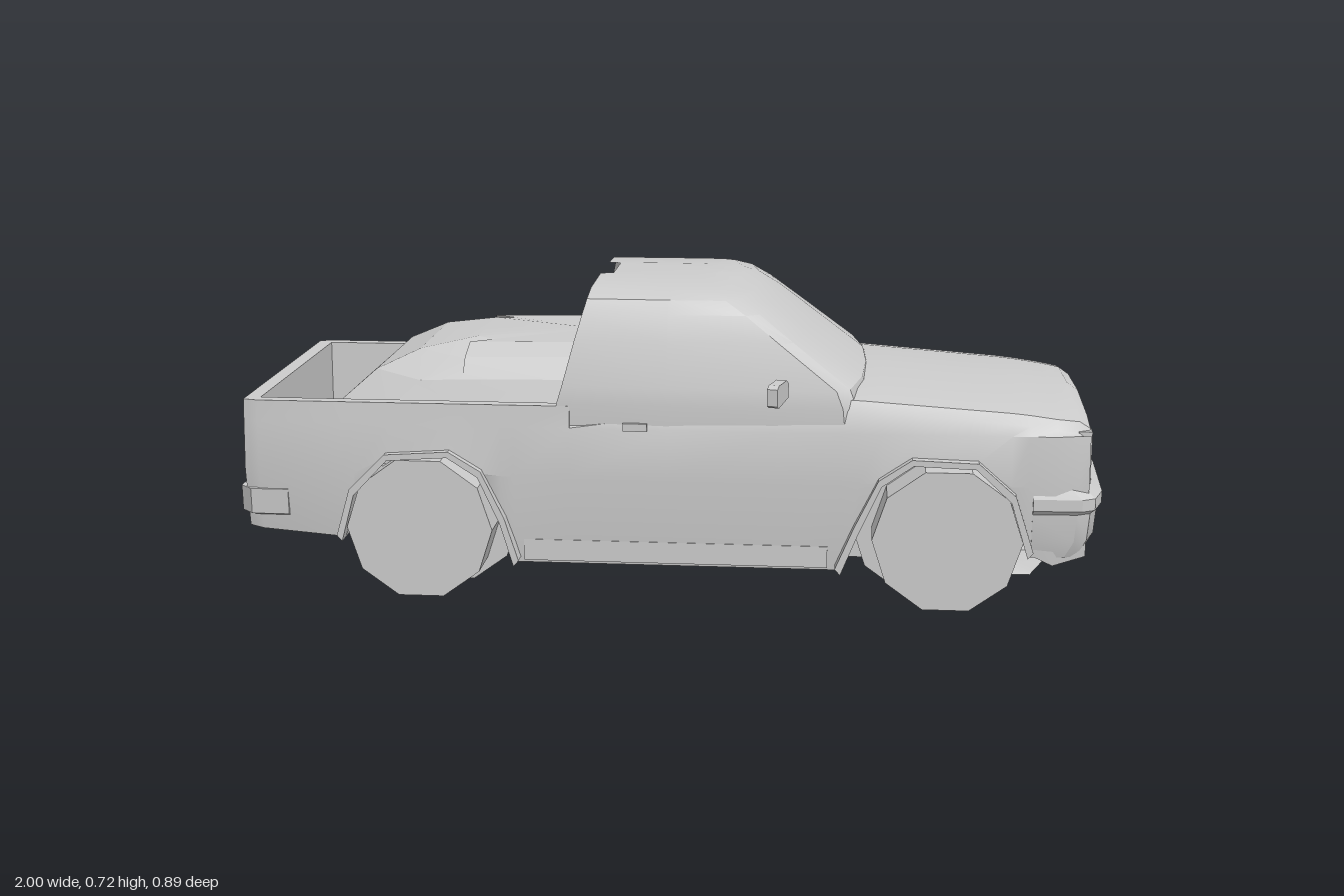
import * as THREE from 'three';
import { toCreasedNormals } from 'three/addons/utils/BufferGeometryUtils.js';

const material = new THREE.MeshStandardMaterial({ color: 0xcccccc, side: THREE.DoubleSide });

// Linear interpolation through [x, value] pairs
function lerpTable(table, x) {
  for (let i = 1; i < table.length; i++) {
    const [x0, v0] = table[i - 1], [x1, v1] = table[i];
    if (x <= x1) return v0 + (v1 - v0) * Math.max(0, (x - x0) / (x1 - x0));
  }
  return table[table.length - 1][1];
}

// Skins half sections (first and last points on z = 0), mirrored across z
function loft(halves, crease = 0.5) {
  const rings = halves.map(h => [...h, ...h.slice(1, -1).reverse().map(([x, y, z]) => [x, y, -z])]);
  const n = rings[0].length, pos = [];
  const tri = (...pts) => pts.forEach(p => pos.push(...p));
  for (let i = 0; i + 1 < rings.length; i++) {
    const a = rings[i], b = rings[i + 1];
    for (let j = 0; j < n; j++) {
      const k = (j + 1) % n;
      tri(a[j], b[j], b[k]);
      tri(a[j], b[k], a[k]);
    }
  }
  const first = rings[0], last = rings[rings.length - 1];
  for (let j = 1; j + 1 < n; j++) {
    tri(first[0], first[j], first[j + 1]);
    tri(last[0], last[j + 1], last[j]);
  }
  const g = new THREE.BufferGeometry();
  g.setAttribute('position', new THREE.Float32BufferAttribute(pos, 3));
  return toCreasedNormals(g, crease);
}

// Wheel arch outlines as [x, y]
const ARCHES = {
  rear: [[-0.75, 0.13], [-0.72, 0.24], [-0.64, 0.325], [-0.5, 0.335], [-0.43, 0.29], [-0.38, 0.18], [-0.35, 0.08]],
  front: [[0.4, 0.08], [0.44, 0.18], [0.49, 0.29], [0.56, 0.34], [0.7, 0.335], [0.78, 0.26], [0.82, 0.13]],
};
const FLOOR = [[-0.98, 0.15], [-0.75, 0.12], [-0.35, 0.08], [0.8, 0.08], [0.96, 0.12]];
const WIDTH = [[-0.98, 0.345], [-0.95, 0.355], [0.45, 0.354], [0.88, 0.343], [0.96, 0.322]];
const TOP = [[-0.98, 0.455], [-0.2, 0.455], [0, 0.48], [0.42, 0.5], [0.8, 0.473], [0.93, 0.455], [0.96, 0.435]];

// Half section of the lower body: floor, wheel well, flank, then bed or hood
function bodySection(x, kind) {
  const b = lerpTable(FLOOR, x), w = lerpTable(WIDTH, x), t = lerpTable(TOP, x);
  let a = b;
  for (const arch of Object.values(ARCHES)) {
    if (x >= arch[0][0] && x <= arch[arch.length - 1][0]) a = Math.max(b, lerpTable(arch, x));
  }
  const mid = Math.max(a + 0.005, 0.29);
  const low = w - 0.014 + 0.02 * Math.min(1, (a - b) / 0.15);
  const upper = {
    bed: [[0.455, w - 0.004], [0.455, w - 0.035], [0.3, w - 0.04], [0.3, 0]],
    rim: [[0.455, w - 0.004], [0.455, w - 0.035], [0.455, w - 0.04], [0.455, 0]],
    hood: [[t - 0.045, w - 0.012], [t - 0.022, w - 0.025], [t - 0.01, w - 0.1], [t, 0]],
  }[kind];
  return [[b, 0], [b, 0.235], [a, 0.235], [a, low], [mid, w + 0.008], [0.405, w], ...upper]
    .map(([y, z]) => [x, y, z]);
}

export function createModel() {
  const truck = new THREE.Group();
  truck.name = 'pickupTruck';
  const add = (name, geometry, parent = truck) => {
    const mesh = new THREE.Mesh(geometry, material);
    mesh.name = name;
    parent.add(mesh);
    return mesh;
  };

  // Lower body with open bed, wheel wells and hood
  const bedXs = [-0.945, ...ARCHES.rear.map(p => p[0]), -0.22];
  const hoodXs = [-0.22, 0, 0.25, ...ARCHES.front.map(p => p[0]), 0.88, 0.93, 0.955];
  add('body', loft([
    ...[-0.98, -0.965, -0.945].map(x => bodySection(x, 'rim')),
    ...bedXs.map(x => bodySection(x, 'bed')),
    ...hoodXs.map(x => bodySection(x, 'hood')),
  ], 0.45));

  // Cab levels: y, rear x, windshield x, half width
  const cabLevels = [
    [0.41, -0.255, 0.47, 0.349], [0.46, -0.25, 0.465, 0.35], [0.5, -0.238, 0.45, 0.346],
    [0.6, -0.212, 0.32, 0.319], [0.66, -0.195, 0.242, 0.298], [0.69, -0.187, 0.195, 0.276],
    [0.707, -0.184, 0.155, 0.225], [0.717, -0.18, 0.11, 0.08],
  ];
  add('cab', loft(cabLevels.map(([y, xr, xf, w]) => [
    [xf, y, 0], [xf - 0.008, y, w * 0.5], [xf - 0.035, y, w * 0.93], [xf - 0.065, y, w],
    [0, y, w + 0.002], [xr, y, w], [xr + 0.015, y, w * 0.96], [xr + 0.03, y, w * 0.85], [xr + 0.03, y, 0],
  ]), 0.5));

  // Covered load in the bed: y, rear x, half width
  const loadLevels = [[0.3, -0.87, 0.31], [0.43, -0.78, 0.3], [0.5, -0.7, 0.275], [0.545, -0.6, 0.235], [0.568, -0.47, 0.17]];
  add('coveredLoad', loft(loadLevels.map(([y, xr, w]) => [
    [-0.2, y, 0], [-0.2, y, w], [-0.48, y - 0.004, w], [xr + 0.12, y - 0.01, w * 0.97], [xr, y, w * 0.7], [xr, y, 0],
  ]), 0.2));

  // Front bumper levels: y, nose x, half width
  const bumperLevels = [[0.12, 0.965, 0.328], [0.16, 0.985, 0.338], [0.225, 0.99, 0.342],
    [0.235, 1, 0.35], [0.262, 1, 0.35], [0.285, 0.975, 0.34]];
  add('frontBumper', loft(bumperLevels.map(([y, x, w]) => [
    [x, y, 0], [x - 0.008, y, w * 0.75], [x - 0.03, y, w * 0.95], [x - 0.06, y, w], [0.83, y, w + 0.004], [0.83, y, 0],
  ]), 0.4));

  // Rear bumper levels: y, tail x, half width
  const tailLevels = [[0.14, -0.95, 0.335], [0.18, -0.975, 0.345], [0.185, -0.998, 0.355], [0.245, -0.998, 0.358], [0.25, -0.975, 0.35]];
  add('rearBumper', loft(tailLevels.map(([y, x, w]) => [
    [-0.88, y, 0], [-0.88, y, w], [x + 0.03, y, w], [x, y, w - 0.03], [x, y, 0],
  ]), 0.4));

  // Air dam under the nose
  add('airDam', loft([[0.078, 0.85, 0.33], [0.088, 0.86, 0.325], [0.13, 0.9, 0.31]].map(([y, x, w]) => [
    [x, y, 0], [x - 0.02, y, w], [0.78, y, w], [0.78, y, 0],
  ])));

  // Grille and lamps set into the nose
  const grille = add('grille', new THREE.BoxGeometry(0.012, 0.125, 0.4));
  grille.position.set(0.953, 0.353, 0);

  for (const side of [1, -1]) {
    const group = new THREE.Group();
    group.name = side > 0 ? 'rightSide' : 'leftSide';
    truck.add(group);

    const lamp = add('headlight', new THREE.BoxGeometry(0.03, 0.12, 0.115), group);
    lamp.position.set(0.943, 0.353, side * 0.262);

    // Ten-sided wheels, each with an offset inner disc
    for (const [name, x, shift] of [['rear', -0.57, 0.055], ['front', 0.64, -0.055]]) {
      const disc = (label, r, depth, px, z) => {
        const g = new THREE.CylinderGeometry(r, r, depth, 10, 1, false, Math.PI / 10).rotateX(Math.PI / 2);
        add(label, toCreasedNormals(g.toNonIndexed(), 0.3), group).position.set(px, 0.162, side * z);
      };
      disc(name + 'Wheel', 0.17, 0.11, x, 0.315);
      disc(name + 'InnerDisc', 0.16, 0.022, x + shift, 0.251);

      // Raised lip following the arch
      const arch = ARCHES[name];
      const shape = new THREE.Shape();
      const cx = (arch[0][0] + arch[6][0]) / 2;
      arch.forEach(([px, py], i) => (i ? shape.lineTo(px, py) : shape.moveTo(px, py)));
      [...arch].reverse().forEach(([px, py]) => shape.lineTo(cx + (px - cx) * 1.06, py + 0.014));
      shape.closePath();
      const lip = new THREE.ExtrudeGeometry(shape, { depth: 0.035, bevelEnabled: false });
      add(name + 'ArchLip', lip, group).position.z = side > 0 ? 0.346 : -0.381;
    }

    // Door mirror on a short stalk, swept back
    const mirror = new THREE.Group();
    mirror.name = 'doorMirror';
    mirror.position.set(0.255, 0.505, side * 0.4);
    mirror.rotation.y = -side * 0.25;
    group.add(mirror);
    const shellShape = new THREE.Shape([[-0.045, -0.017], [0.03, -0.026], [0.042, -0.02], [0.042, 0.018], [0.03, 0.025], [-0.03, 0.025], [-0.045, 0.015]]
      .map(([z, y]) => new THREE.Vector2(z * side, y)));
    const shell = new THREE.ExtrudeGeometry(shellShape, { depth: 0.024, bevelEnabled: false });
    add('mirrorShell', shell.translate(0, 0, -0.012).rotateY(-Math.PI / 2), mirror);

    // Door handle and sill strip
    const handle = add('doorHandle', new THREE.BoxGeometry(0.055, 0.018, 0.01), group);
    handle.position.set(-0.07, 0.41, side * 0.354);
    const sill = add('sill', new THREE.BoxGeometry(0.7, 0.05, 0.012), group);
    sill.position.set(0.02, 0.112, side * 0.342);
  }
  return truck;
}
